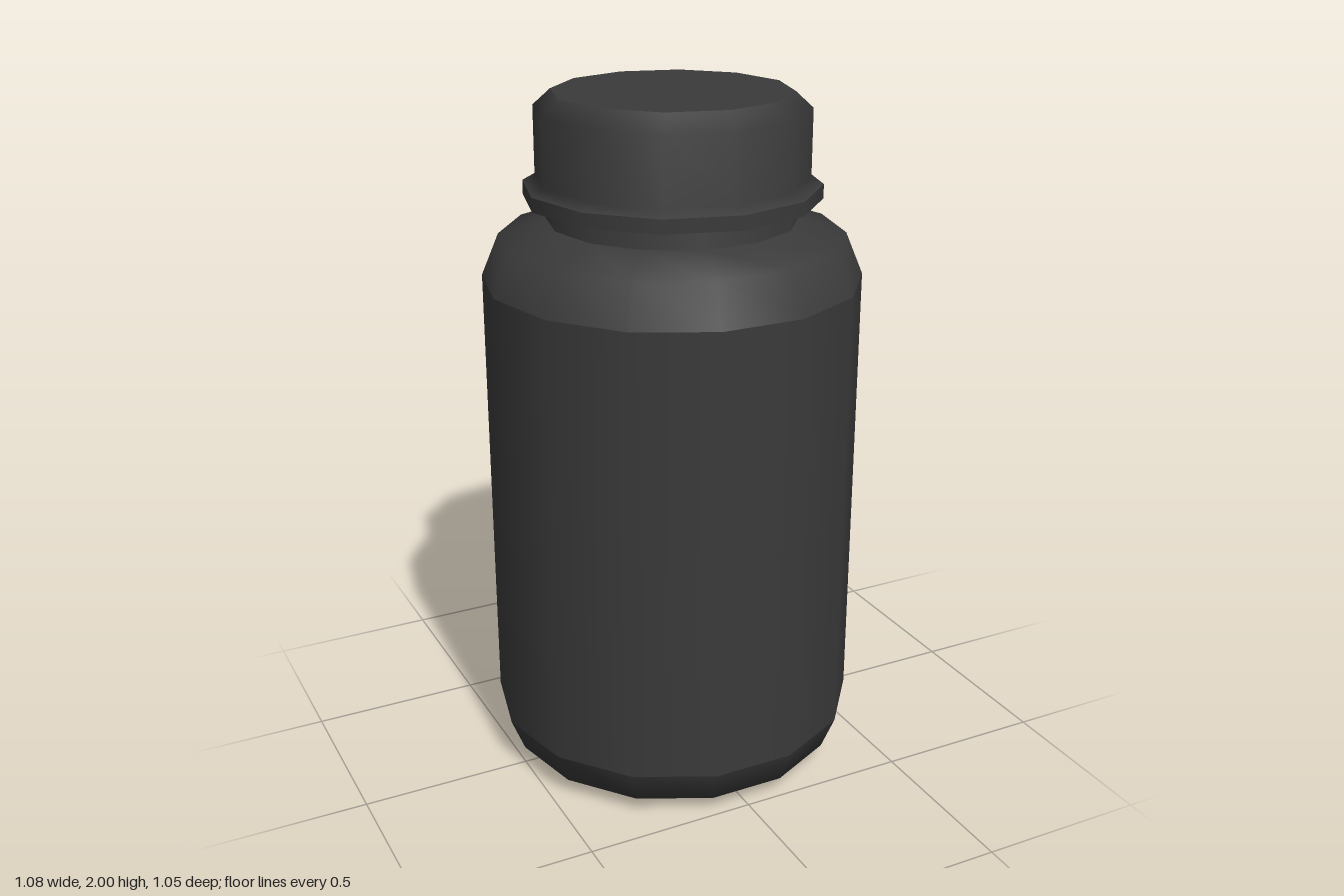
import * as THREE from 'three';

const material = new THREE.MeshStandardMaterial({ color: 0x3a3a3a });

// Turns each profile (bottom to top) into its own lathe, so edges between profiles stay sharp.
function turned(name, sides, sections) {
  const group = new THREE.Group();
  group.name = name;
  for (const [part, profile] of Object.entries(sections)) {
    const points = profile.map(([r, y]) => new THREE.Vector2(r, y));
    const mesh = new THREE.Mesh(new THREE.LatheGeometry(points, sides, Math.PI / 2), material);
    mesh.name = part;
    group.add(mesh);
  }
  return group;
}

export function createModel() {
  const model = new THREE.Group();
  model.name = 'bottle';

  // Fourteen-sided bottle with a rounded base and shoulder
  model.add(turned('body', 14, {
    base: [[0, 0], [0.35, 0], [0.5, 0.05], [0.54, 0.15]],
    wall: [[0.54, 0.15], [0.54, 1.48]],
    shoulder: [[0.54, 1.48], [0.49, 1.6], [0.355, 1.645]],
    neck: [[0.355, 1.645], [0.345, 1.72]],
  }));

  // Twelve-sided screw cap with a flange at its foot
  model.add(turned('cap', 12, {
    capUnderside: [[0.3, 1.705], [0.42, 1.705]],
    flange: [[0.42, 1.705], [0.42, 1.745]],
    capWall: [[0.42, 1.745], [0.385, 1.765], [0.385, 1.955], [0.335, 2]],
    capTop: [[0.335, 2], [0, 2]],
  }));

  return model;
}
